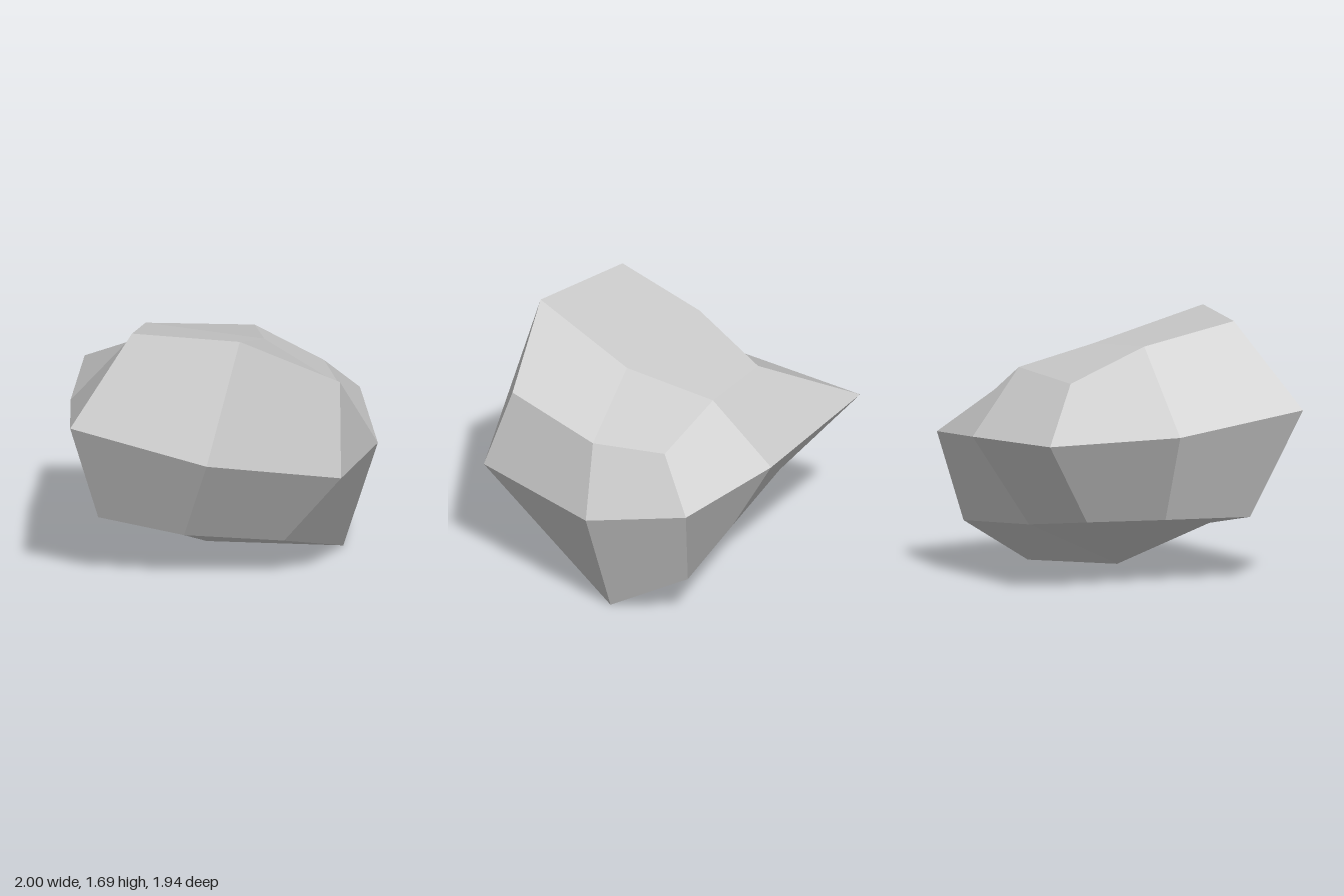
import * as THREE from 'three';

// Three cross-sections, bottom to top; each has rows from back to front, running along +x.
const layers = [
  [ // underside
    [[-0.69, 0.45, -0.50], [-0.04, 0.36, -0.60], [0.64, 0.31, -0.74]],
    [[-0.69, 0.43, 0.07], [-0.10, 0.07, 0.01], [0.77, 0.00, -0.21]],
    [[-0.74, 0.42, 0.66], [-0.18, 0.31, 0.64], [0.46, 0.25, 0.50]],
  ],
  [ // widest ring (its middle is hollow)
    [[-1.00, 1.01, -0.92], [0.04, 0.95, -0.97], [0.81, 0.88, -0.85]],
    [[-0.99, 1.01, 0.03], null, [1.00, 0.72, -0.18]],
    [[-0.89, 1.12, 0.97], [0.00, 0.88, 0.94], [0.86, 0.77, 0.75]],
  ],
  [ // top
    [[-0.45, 1.33, -0.50], [0.15, 1.37, -0.58], [0.61, 1.16, -0.53]],
    [[-0.50, 1.55, 0.01], [0.28, 1.47, 0.02], [0.76, 1.15, -0.06]],
    [[-0.52, 1.68, 0.65], [0.20, 1.69, 0.78], [0.83, 1.36, 0.54]],
  ],
];

// Each side seen from outside: column and row to lattice indices [x, y, z].
const sides = [
  (c, r) => [c, 2 - r, 2], // front
  (c, r) => [2 - c, 2 - r, 0], // back
  (c, r) => [2, 2 - r, 2 - c], // +x side
  (c, r) => [0, 2 - r, c], // -x side
  (c, r) => [2 - r, 2, c], // top
  (c, r) => [r, 0, c], // underside
];

// Skins every side with two by two facets; both triangles of a facet share one normal.
function rockGeometry() {
  const positions = [];
  const normals = [];
  for (const side of sides) {
    const point = (c, r) => {
      const [x, y, z] = side(c, r);
      return new THREE.Vector3(...layers[y][z][x]);
    };
    for (let c = 0; c < 2; c++) {
      for (let r = 0; r < 2; r++) {
        const topLeft = point(c, r);
        const bottomLeft = point(c, r + 1);
        const bottomRight = point(c + 1, r + 1);
        const topRight = point(c + 1, r);
        const normal = bottomRight.clone().sub(topLeft)
          .cross(topRight.clone().sub(bottomLeft)).normalize();
        for (const p of [topLeft, bottomLeft, bottomRight, topLeft, bottomRight, topRight]) {
          positions.push(...p.toArray());
          normals.push(...normal.toArray());
        }
      }
    }
  }
  const geometry = new THREE.BufferGeometry();
  geometry.setAttribute('position', new THREE.Float32BufferAttribute(positions, 3));
  geometry.setAttribute('normal', new THREE.Float32BufferAttribute(normals, 3));
  return geometry;
}

export function createModel() {
  const stone = new THREE.MeshStandardMaterial({ color: 0xc8c8c8 });
  stone.name = 'stone grey';

  const rock = new THREE.Mesh(rockGeometry(), stone);
  rock.name = 'rock';

  const model = new THREE.Group();
  model.name = 'boulder';
  model.add(rock);
  return model;
}
